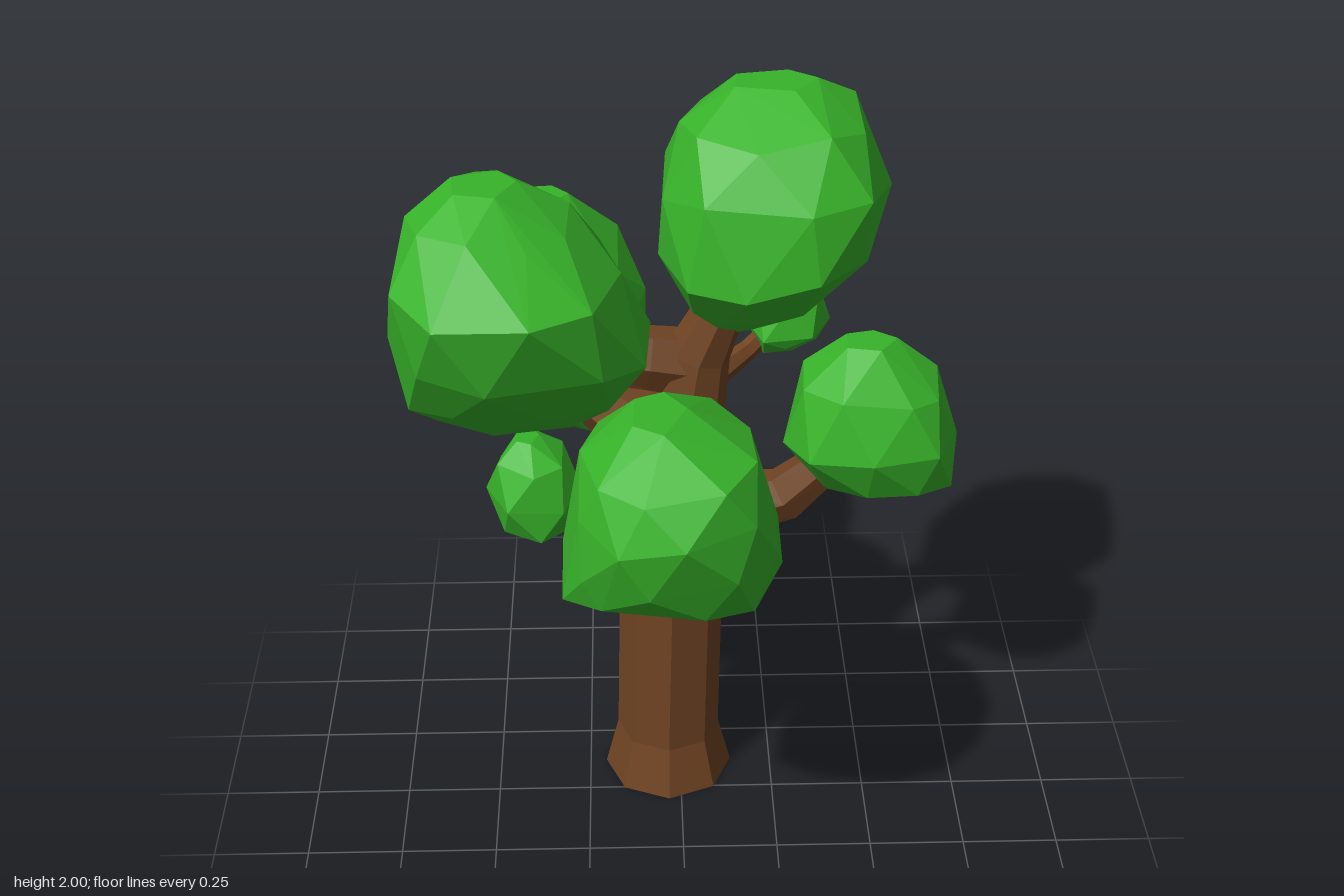
import * as THREE from 'three';
import { ConvexGeometry } from 'three/addons/geometries/ConvexGeometry.js';

const bark = new THREE.MeshStandardMaterial({ color: 0x6f4322, flatShading: true });
const leaf = new THREE.MeshStandardMaterial({ color: 0x38b42a, flatShading: true });

function seeded(seed) {
  return () => (seed = (seed * 16807) % 2147483647) / 2147483647;
}

// Faceted limb lofted through rings of [x, y, z, radius]; depth stretches the section
function limb(name, rings, sides, ref, depth) {
  const centres = rings.map(([x, y, z]) => new THREE.Vector3(x, y, z));
  const pos = [], index = [], last = rings.length - 1;
  centres.forEach((c, i) => {
    const t = centres[Math.min(i + 1, last)].clone().sub(centres[Math.max(i - 1, 0)]).normalize();
    const u = ref.clone().cross(t).normalize();
    const v = t.clone().cross(u).multiplyScalar(depth);
    for (let j = 0; j < sides; j++) {
      const a = (j / sides) * Math.PI * 2;
      const p = c.clone().addScaledVector(u, Math.cos(a) * rings[i][3]).addScaledVector(v, Math.sin(a) * rings[i][3]);
      pos.push(p.x, p.y, p.z);
      if (i < last) {
        const k = i * sides, n = (j + 1) % sides;
        index.push(k + j, k + n, k + sides + n, k + j, k + sides + n, k + sides + j);
      }
    }
  });
  for (let j = 1; j < sides - 1; j++) {
    const k = last * sides;
    index.push(0, j + 1, j, k, k + j, k + j + 1);
  }
  const g = new THREE.BufferGeometry();
  g.setAttribute('position', new THREE.Float32BufferAttribute(pos, 3));
  g.setIndex(index);
  g.computeVertexNormals();
  const mesh = new THREE.Mesh(g, bark);
  mesh.name = name;
  return mesh;
}

// Chunky convex leaf clump around level slices of [y, xMin, xMax, zMin, zMax]
function clump(name, sides, seed, slices) {
  const rnd = seeded(seed), pts = [];
  const bulge = (c) => Math.sign(c) * Math.abs(c) ** 0.87;
  slices.forEach(([y, x0, x1, z0, z1], i) => {
    const end = i === 0 || i === slices.length - 1;
    const n = end ? 5 : sides;
    for (let j = 0; j < n; j++) {
      const a = ((j + (i % 2) / 2 + (rnd() - 0.5) * 0.3) / n) * Math.PI * 2;
      const s = 0.5 + rnd() * 0.015;
      pts.push(new THREE.Vector3(
        (x0 + x1) / 2 + bulge(Math.cos(a)) * (x1 - x0) * s,
        y + (end ? 0 : (rnd() - 0.5) * 0.05),
        (z0 + z1) / 2 + bulge(Math.sin(a)) * (z1 - z0) * s,
      ));
    }
  });
  const mesh = new THREE.Mesh(new ConvexGeometry(pts), leaf);
  mesh.name = name;
  return mesh;
}

export function createModel() {
  const tree = new THREE.Group();
  tree.name = 'tree';
  const up = new THREE.Vector3(0, 1, 0), front = new THREE.Vector3(0, 0, 1);

  // Trunk with flared foot, leaning into the top clump
  tree.add(limb('trunk', [
    [-0.033, 0, -0.12, 0.173], [-0.033, 0.14, -0.12, 0.138], [-0.02, 0.8, -0.12, 0.136],
    [-0.01, 0.98, -0.12, 0.129], [0.015, 1.12, -0.13, 0.1], [0.045, 1.3, -0.13, 0.083],
    [0.1, 1.43, -0.12, 0.065], [0.15, 1.58, -0.12, 0.055],
  ], 8, front, 1));

  // Branches
  const branches = {
    leftBranch: [[-0.02, 0.855, -0.12, 0.086], [0.1, 0.855, -0.11, 0.08], [0.27, 0.9, -0.09, 0.06], [0.42, 1.05, -0.07, 0.04]],
    rightTwig: [[-0.05, 0.86, -0.12, 0.052], [-0.14, 0.85, -0.12, 0.045], [-0.25, 0.83, -0.11, 0.032], [-0.35, 0.9, -0.1, 0.025]],
    frontBranch: [[-0.02, 1.05, -0.1, 0.1], [-0.02, 1.06, 0.02, 0.09], [-0.03, 1.095, 0.27, 0.065], [-0.04, 1.16, 0.42, 0.05]],
    backBranch: [[-0.02, 1.0, -0.13, 0.095], [-0.09, 1.03, -0.2, 0.087], [-0.22, 1.07, -0.32, 0.073], [-0.32, 1.16, -0.43, 0.05]],
    rightBranch: [[0.03, 1.27, -0.13, 0.075], [-0.08, 1.29, -0.12, 0.07], [-0.25, 1.31, -0.11, 0.06], [-0.35, 1.4, 0, 0.05]],
    backTwig: [[0.01, 1.16, -0.14, 0.04], [0.09, 1.18, -0.22, 0.032], [0.18, 1.22, -0.28, 0.024], [0.27, 1.29, -0.33, 0.02]],
  };
  for (const [name, rings] of Object.entries(branches)) tree.add(limb(name, rings, 6, up, 1.22));

  // Large leaf clumps
  tree.add(clump('topLeaves', 9, 11, [
    [2.0, 0.12, 0.33, -0.25, -0.11], [1.92, 0, 0.44, -0.35, 0.04], [1.77, -0.05, 0.505, -0.395, 0.13],
    [1.6, -0.05, 0.46, -0.36, 0.155], [1.44, 0.03, 0.33, -0.25, -0.01], [1.37, 0.1, 0.19, -0.2, -0.1],
  ]));
  tree.add(clump('rightLeaves', 9, 23, [
    [1.86, -0.54, -0.38, 0, 0.16], [1.78, -0.64, -0.26, -0.12, 0.27], [1.64, -0.69, -0.15, -0.2, 0.405],
    [1.45, -0.705, -0.07, -0.22, 0.34], [1.3, -0.68, -0.12, -0.17, 0.21], [1.2, -0.6, -0.25, -0.09, 0.1],
  ]));
  tree.add(clump('frontLeaves', 9, 37, [
    [1.49, -0.13, 0, 0.4, 0.59], [1.4, -0.24, 0.16, 0.28, 0.73], [1.29, -0.26, 0.185, 0.245, 0.775],
    [1.16, -0.28, 0.215, 0.255, 0.74], [1.06, -0.295, 0.215, 0.33, 0.68], [1.0, -0.2, 0.04, 0.4, 0.54],
  ]));
  tree.add(clump('backLeaves', 9, 41, [
    [1.55, -0.45, -0.28, -0.59, -0.45], [1.4, -0.59, -0.14, -0.73, -0.29], [1.25, -0.64, -0.085, -0.76, -0.22],
    [1.08, -0.52, -0.08, -0.78, -0.25], [0.98, -0.39, -0.13, -0.66, -0.32], [0.92, -0.3, -0.2, -0.48, -0.4],
  ]));
  tree.add(clump('leftLeaves', 8, 59, [
    [1.355, 0.4, 0.54, -0.13, -0.02], [1.25, 0.3, 0.65, -0.2, 0.08], [1.1, 0.26, 0.7, -0.25, 0.12],
    [0.97, 0.36, 0.7, -0.25, 0.07], [0.91, 0.44, 0.6, -0.2, -0.05],
  ]));

  // Small leaf clumps
  tree.add(clump('smallRightLeaves', 6, 67, [
    [1.07, -0.42, -0.36, -0.15, -0.07], [1.01, -0.47, -0.29, -0.2, 0], [0.92, -0.5, -0.26, -0.22, 0.02],
    [0.84, -0.46, -0.28, -0.18, 0], [0.8, -0.39, -0.32, -0.13, -0.07],
  ]));
  tree.add(clump('smallBackLeaves', 6, 73, [
    [1.41, 0.26, 0.32, -0.37, -0.3], [1.36, 0.2, 0.37, -0.43, -0.24], [1.28, 0.175, 0.395, -0.45, -0.22],
    [1.22, 0.21, 0.36, -0.42, -0.25], [1.2, 0.26, 0.31, -0.36, -0.31],
  ]));
  return tree;
}
